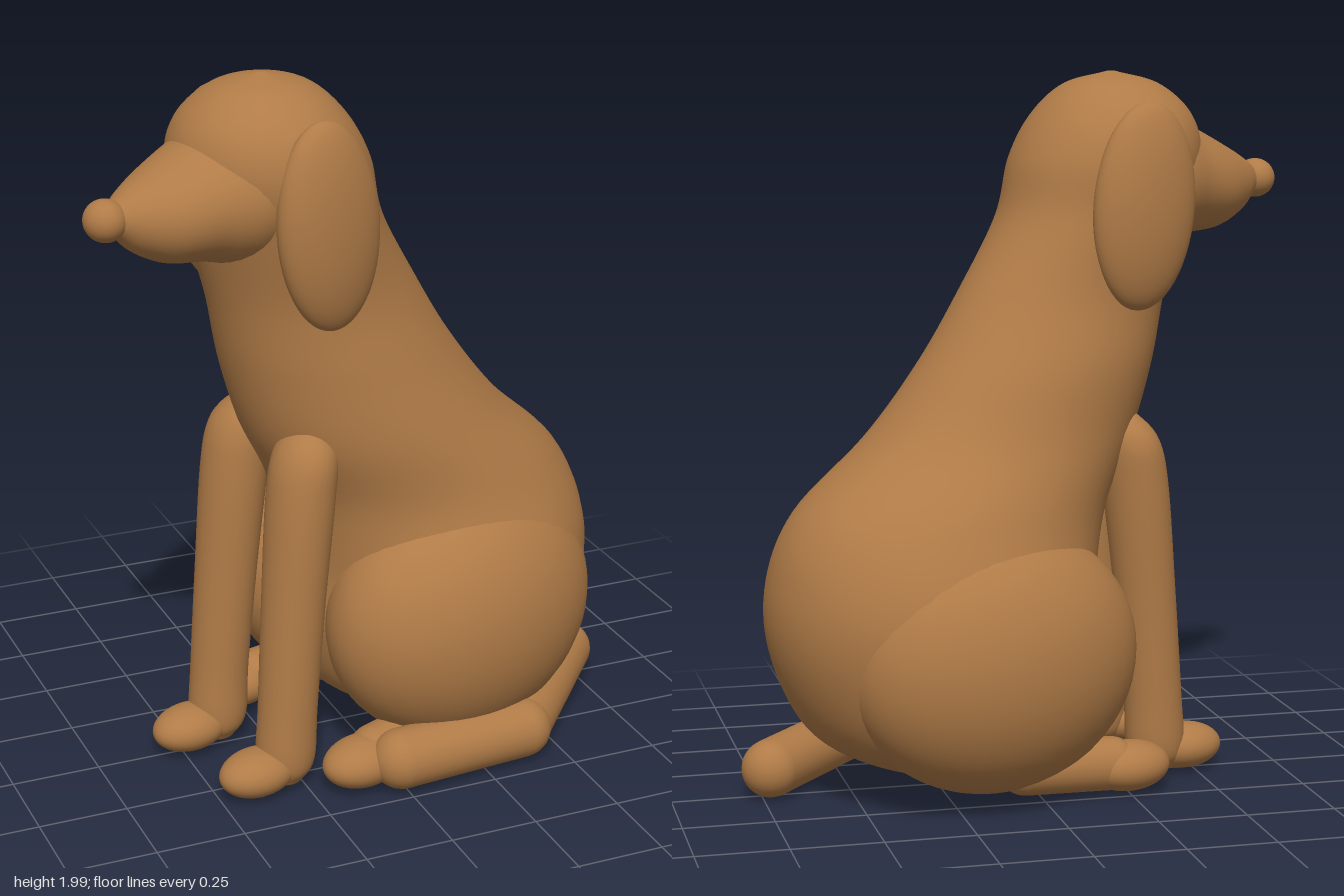
import * as THREE from 'three';

const brown = new THREE.MeshStandardMaterial({ color: 0xb07b47 });
brown.name = 'brown coat';

function add(parent, name, geometry) {
  const mesh = new THREE.Mesh(geometry, brown);
  mesh.name = name;
  parent.add(mesh);
  return mesh;
}

// Smooth closed skin over horizontal ellipses [x, y, z, radiusX, radiusZ], from low to high
function loft(sections, rows = 48, n = 40) {
  const curve = (pick) => new THREE.CatmullRomCurve3(sections.map(pick), false, 'catmullrom', 0.5);
  const centre = curve((s) => new THREE.Vector3(s[0], s[1], s[2]));
  const radius = curve((s) => new THREE.Vector3(s[3], s[4], 0));
  const pos = [], idx = [];
  for (let i = 0; i <= rows; i++) {
    const c = centre.getPoint(i / rows), r = radius.getPoint(i / rows);
    for (let j = 0; j < n; j++) {
      const a = (j / n) * Math.PI * 2;
      pos.push(c.x + r.x * Math.cos(a), c.y, c.z + r.y * Math.sin(a));
    }
  }
  const bottom = (rows + 1) * n, top = bottom + 1;
  pos.push(...centre.getPoint(0).toArray(), ...centre.getPoint(1).toArray());
  for (let j = 0; j < n; j++) {
    const k = (j + 1) % n;
    for (let i = 0; i < rows; i++) {
      const a = i * n + j, b = i * n + k;
      idx.push(a, a + n, b, b, a + n, b + n);
    }
    idx.push(bottom, j, k, top, rows * n + k, rows * n + j);
  }
  const g = new THREE.BufferGeometry();
  g.setAttribute('position', new THREE.Float32BufferAttribute(pos, 3));
  g.setIndex(idx);
  g.computeVertexNormals();
  return g;
}

function ellipsoid(parent, name, [x, y, z], [rx, ry, rz]) {
  const mesh = add(parent, name, new THREE.SphereGeometry(1, 40, 28).scale(rx, ry, rz));
  mesh.position.set(x, y, z);
  return mesh;
}

// Rounded rod between two points
function rod(parent, name, from, to, r) {
  const a = new THREE.Vector3(...from), b = new THREE.Vector3(...to);
  const dir = b.clone().sub(a);
  const mesh = add(parent, name, new THREE.CapsuleGeometry(r, dir.length(), 10, 28));
  mesh.position.copy(a).add(b).multiplyScalar(0.5);
  mesh.quaternion.setFromUnitVectors(new THREE.Vector3(0, 1, 0), dir.normalize());
  return mesh;
}

export function createModel() {
  const model = new THREE.Group();
  model.name = 'sittingDog';

  // The dog faces local -x and is turned slightly; left and right mirror in z
  const dog = new THREE.Group();
  dog.name = 'dog';
  dog.rotation.y = 0.25;
  dog.position.set(0.01, 0, 0.04);
  model.add(dog);

  // Body, neck and skull in one skin
  add(dog, 'bodyAndHead', loft([
    [0.24, 0.07, 0, 0.03, 0.03],
    [0.24, 0.10, 0, 0.21, 0.23],
    [0.25, 0.20, 0, 0.37, 0.38],
    [0.265, 0.40, 0, 0.455, 0.44],
    [0.27, 0.60, 0, 0.465, 0.435],
    [0.21, 0.80, 0, 0.45, 0.37],
    [0.05, 1.00, 0.01, 0.39, 0.315],
    [-0.06, 1.20, 0, 0.342, 0.28],
    [-0.146, 1.40, 0, 0.302, 0.245],
    [-0.235, 1.60, 0, 0.272, 0.255],
    [-0.28, 1.76, 0, 0.272, 0.27],
    [-0.30, 1.88, 0, 0.226, 0.23],
    [-0.30, 1.965, 0, 0.135, 0.135],
    [-0.30, 2.0, 0, 0.012, 0.012],
  ], 96, 56));

  // Muzzle, lofted upright and then laid forward
  const muzzle = loft([
    [1.72, 0.20, 0, 0.16, 0.18],
    [1.71, 0.40, 0, 0.195, 0.225],
    [1.695, 0.53, 0, 0.157, 0.185],
    [1.678, 0.63, 0, 0.126, 0.148],
    [1.678, 0.71, 0, 0.085, 0.095],
    [1.687, 0.76, 0, 0.045, 0.05],
    [1.69, 0.79, 0, 0.03, 0.03],
  ]);
  add(dog, 'muzzle', muzzle.rotateZ(Math.PI / 2));
  ellipsoid(dog, 'nose', [-0.785, 1.69, 0], [0.056, 0.056, 0.06]);

  for (const [side, s] of [['left', 1], ['right', -1]]) {
    const ear = ellipsoid(dog, side + 'Ear', [-0.265, 1.635, s * 0.245], [0.155, 0.285, 0.078]);
    ear.rotation.z = 0.08;

    // Haunch and hind foot
    ellipsoid(dog, side + 'Haunch', [0.20, 0.425, s * 0.235], [0.425, 0.375, 0.275]);
    rod(dog, side + 'HindLeg', [-0.14, 0.095, s * 0.29], [0.12, 0.11, s * 0.27], 0.075);
    ellipsoid(dog, side + 'HindFoot', [-0.19, 0.085, s * 0.30], [0.125, 0.07, 0.09]);

    // Foreleg and paw
    add(dog, side + 'Foreleg', loft([
      [-0.365, 0.03, s * 0.165, 0.05, 0.05],
      [-0.36, 0.09, s * 0.165, 0.083, 0.08],
      [-0.35, 0.25, s * 0.165, 0.083, 0.083],
      [-0.325, 0.55, s * 0.16, 0.087, 0.09],
      [-0.295, 0.85, s * 0.155, 0.092, 0.1],
      [-0.275, 0.98, s * 0.15, 0.083, 0.095],
      [-0.26, 1.05, s * 0.14, 0.04, 0.05],
      [-0.25, 1.07, s * 0.13, 0.01, 0.01],
    ], 48, 28));
    ellipsoid(dog, side + 'Paw', [-0.455, 0.078, s * 0.165], [0.115, 0.065, 0.085]);
  }

  // Tail curled along the ground, bent once
  const bend = [0.38, 0.095, 0.395];
  rod(model, 'tailBase', [-0.01, 0.1, 0.435], bend, 0.085);
  rod(model, 'tailTip', bend, [0.725, 0.09, -0.01], 0.081);

  return model;
}
